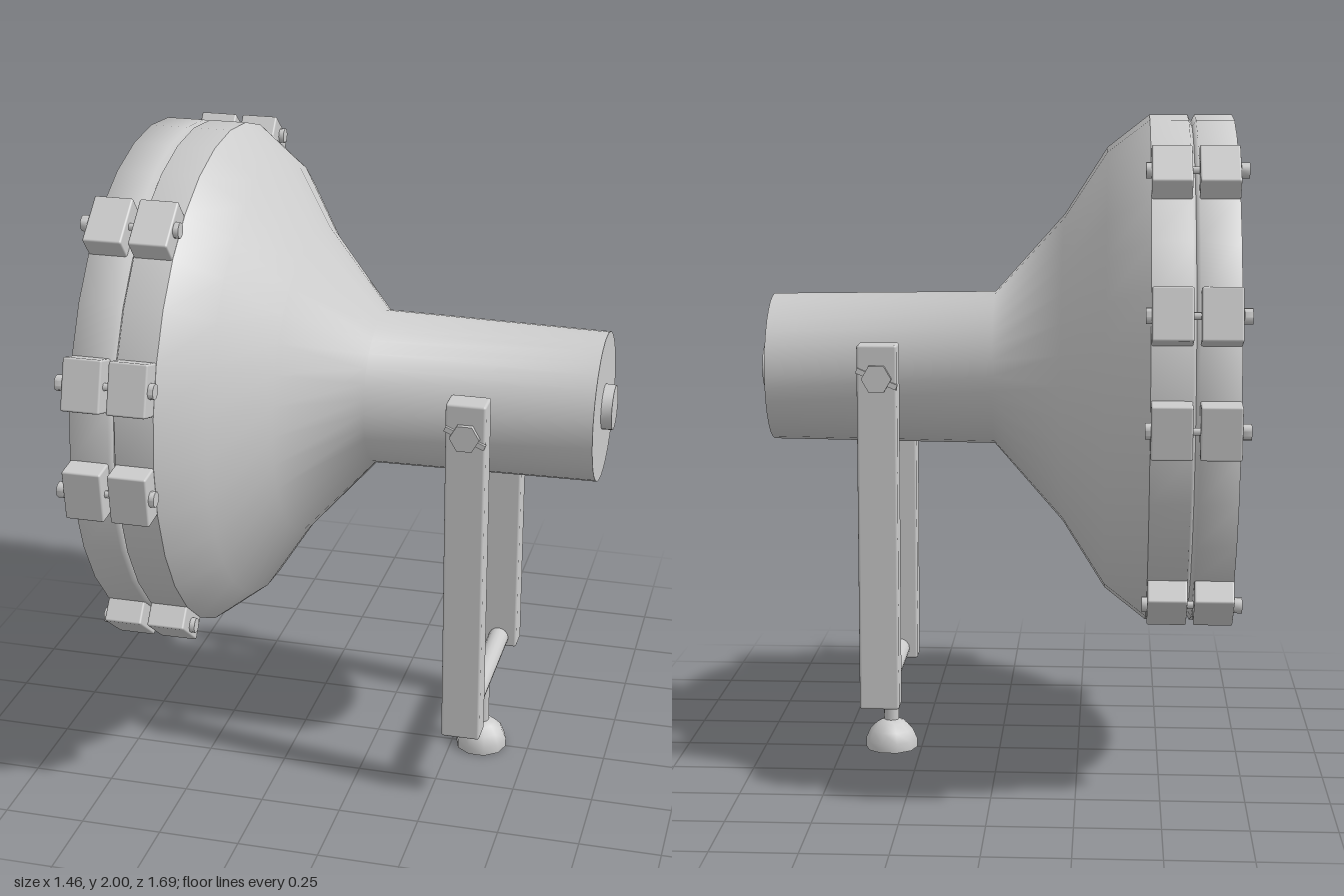
import * as THREE from 'three';
import { toCreasedNormals } from 'three/addons/utils/BufferGeometryUtils.js';
import { RoundedBoxGeometry } from 'three/addons/geometries/RoundedBoxGeometry.js';

const AXIS_Y = 1.225; // height of the lamp axis, which runs along x
const YOKE_X = 0.346;

export function createModel() {
  const model = new THREE.Group();
  model.name = 'floodlight';
  const material = new THREE.MeshStandardMaterial({ color: 0xcccccc });

  const add = (parent, name, geometry, x = 0, y = 0, z = 0) => {
    const mesh = new THREE.Mesh(geometry, material);
    mesh.name = name;
    mesh.position.set(x, y, z);
    parent.add(mesh);
    return mesh;
  };
  // Profile of [x, radius] pairs spun around the x axis
  const spin = (profile, segments = 32) =>
    new THREE.LatheGeometry(profile.map(([x, r]) => new THREE.Vector2(r, x)), segments).rotateZ(-Math.PI / 2);
  const rod = (r, length, sides = 12) =>
    new THREE.CylinderGeometry(r, r, length, sides).rotateZ(-Math.PI / 2);

  // Lamp head
  const head = new THREE.Group();
  head.name = 'lampHead';
  head.position.y = AXIS_Y;
  model.add(head);

  // Parabolic reflector bowl, sunk behind the rim
  const bowl = [];
  for (let i = 0; i <= 8; i++) {
    const t = i / 8;
    bowl.push([-0.41 - 0.28 * t * t, 0.568 * t]);
  }
  add(head, 'reflectorBowl', spin(bowl));
  add(head, 'frontRing', spin([
    [-0.69, 0.568], [-0.703, 0.64], [-0.708, 0.71], [-0.705, 0.775], [-0.591, 0.775], [-0.58, 0.755],
  ]));
  add(head, 'rearRing', spin([[-0.58, 0.755], [-0.57, 0.775], [-0.455, 0.775]]));
  add(head, 'housing', spin([
    [-0.455, 0.775], [-0.33, 0.678], [-0.2, 0.474], [0.012, 0.236], [0.7, 0.227],
  ]));
  add(head, 'endCap', spin([[0.7, 0.227], [0.7, 0]]));
  add(head, 'endKnob', toCreasedNormals(spin([[0.69, 0.07], [0.732, 0.068], [0.732, 0]], 20), 0.6));

  // Clamps round the rim: a lug on each ring, joined by a bolt
  const lugGeometry = new RoundedBoxGeometry(0.115, 0.14, 0.152, 2, 0.006);
  const shaftGeometry = rod(0.011, 0.27, 8);
  const boltHeadGeometry = toCreasedNormals(rod(0.023, 0.024, 10), 0.8);
  for (const side of [1, -1]) {
    for (const degrees of [50.3, 17.1, -5.3, -50.8]) {
      const clamp = new THREE.Group();
      clamp.name = 'rimClamp';
      clamp.rotation.x = side * THREE.MathUtils.degToRad(90 - degrees);
      head.add(clamp);
      add(clamp, 'frontLug', lugGeometry, -0.648, 0.771);
      add(clamp, 'rearLug', lugGeometry, -0.513, 0.771);
      add(clamp, 'clampBolt', shaftGeometry, -0.58, 0.81);
      add(clamp, 'boltHead', boltHeadGeometry, -0.718, 0.81);
      add(clamp, 'boltNut', boltHeadGeometry, -0.452, 0.81);
    }
  }

  // Yoke: two arms with pivot bolts
  const yoke = new THREE.Group();
  yoke.name = 'yoke';
  yoke.position.x = YOKE_X;
  model.add(yoke);
  const armGeometry = new RoundedBoxGeometry(0.12, 1.11, 0.082, 2, 0.008);
  const pinGeometry = new THREE.CylinderGeometry(0.013, 0.013, 0.1, 12).rotateX(Math.PI / 2);
  const hexGeometry = new THREE.CylinderGeometry(0.045, 0.045, 0.024, 6).toNonIndexed()
    .rotateY(Math.PI / 6).rotateX(Math.PI / 2);
  for (const side of [1, -1]) {
    add(yoke, 'yokeArm', armGeometry, 0, 0.775, side * 0.306);
    add(yoke, 'pivotPin', pinGeometry, 0, 1.235, side * 0.24);
    add(yoke, 'pivotBolt', hexGeometry, 0, 1.23, side * 0.35);
    const tab = add(yoke, 'lockTab', new THREE.BoxGeometry(0.13, 0.016, 0.012), 0, 1.23, side * 0.35);
    tab.rotation.z = -side * 0.4;
  }
  add(yoke, 'crossBar', new THREE.CylinderGeometry(0.033, 0.033, 0.54, 16).rotateX(Math.PI / 2), 0, 0.253, 0);

  // Stem and domed foot
  add(yoke, 'stem', new THREE.CylinderGeometry(0.024, 0.024, 0.19, 12), 0, 0.165, 0);
  const footProfile = [[0, 0], [0.082, 0], [0.082, 0.028], [0.068, 0.06], [0.045, 0.082], [0.024, 0.092], [0, 0.094]];
  add(yoke, 'foot', toCreasedNormals(
    new THREE.LatheGeometry(footProfile.map(([r, y]) => new THREE.Vector2(r, y)), 10), 0.8).rotateY(Math.PI / 2));

  return model;
}
